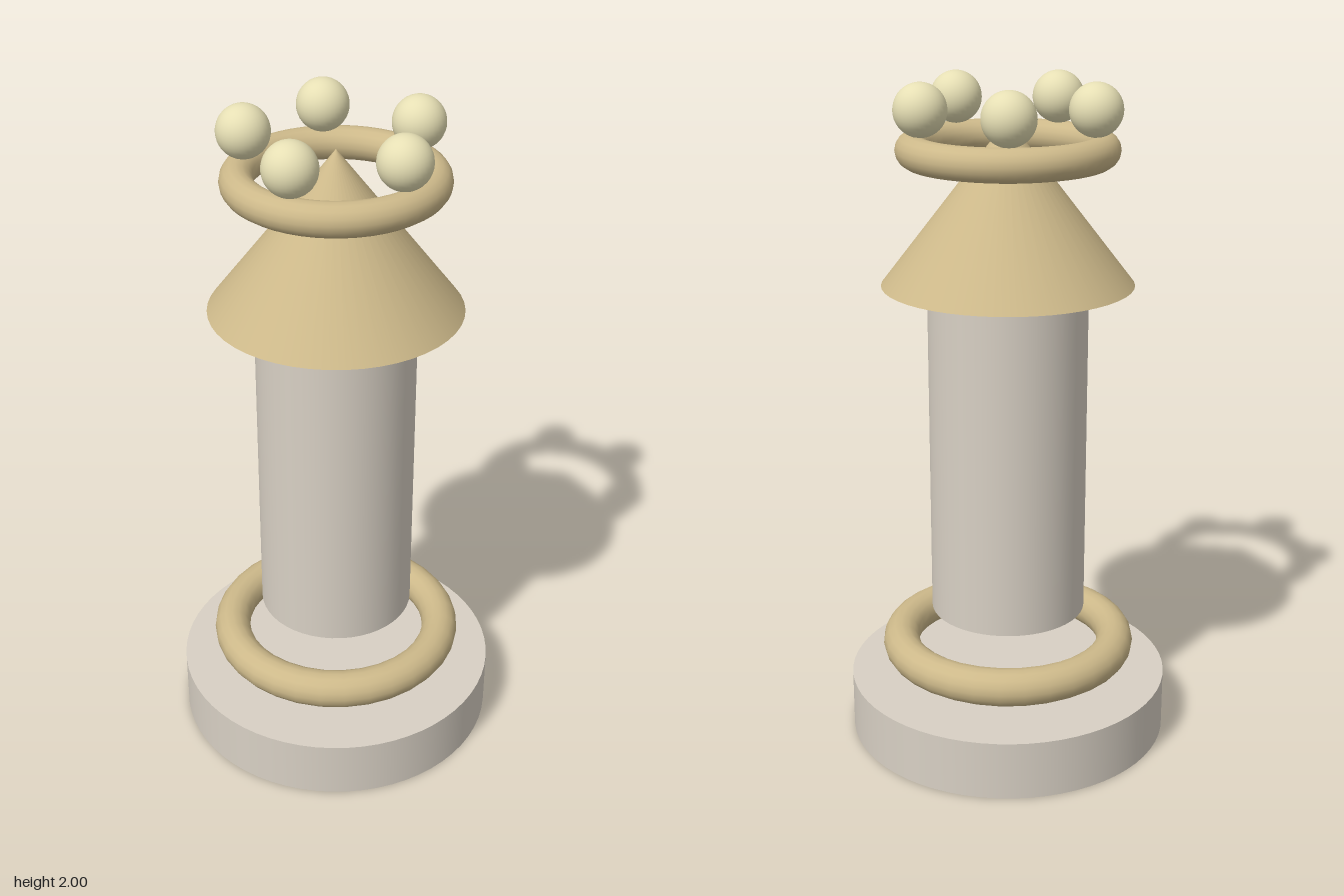
import * as THREE from 'three';

export function createModel() {
  const group = new THREE.Group();
  const material = (color) => new THREE.MeshStandardMaterial({ color });
  const stone = material(0xd8d0c4);
  const gold = material(0xcdb98a);
  const pearl = material(0xe6dfb4);

  const add = (name, geometry, mat, x, y, z) => {
    const mesh = new THREE.Mesh(geometry, mat);
    mesh.name = name;
    mesh.position.set(x, y, z);
    group.add(mesh);
    return mesh;
  };
  // Torus lying flat around the vertical axis
  const ring = (name, radius, tube, y, sides) =>
    add(name, new THREE.TorusGeometry(radius, tube, 16, sides).rotateX(Math.PI / 2), gold, 0, y, 0);

  // Round plinth and the ring floating above it
  add('base', new THREE.CylinderGeometry(0.488, 0.488, 0.18, 64), stone, 0, 0.09, 0);
  ring('lowerRing', 0.333, 0.056, 0.278, 32);

  // Column with conical roof
  add('column', new THREE.CylinderGeometry(0.235, 0.235, 1.02, 48), stone, 0, 0.905, 0);
  add('roof', new THREE.ConeGeometry(0.368, 0.475, 48), gold, 0, 1.6525, 0);

  // Crown ring carrying five balls
  ring('crownRing', 0.272, 0.048, 1.804, 48);
  const ball = new THREE.SphereGeometry(0.076, 32, 20);
  for (let i = 0; i < 5; i++) {
    const a = (i / 5) * Math.PI * 2;
    add(`crownBall${i + 1}`, ball, pearl, 0.255 * Math.cos(a), 1.924, 0.255 * Math.sin(a));
  }
  return group;
}
